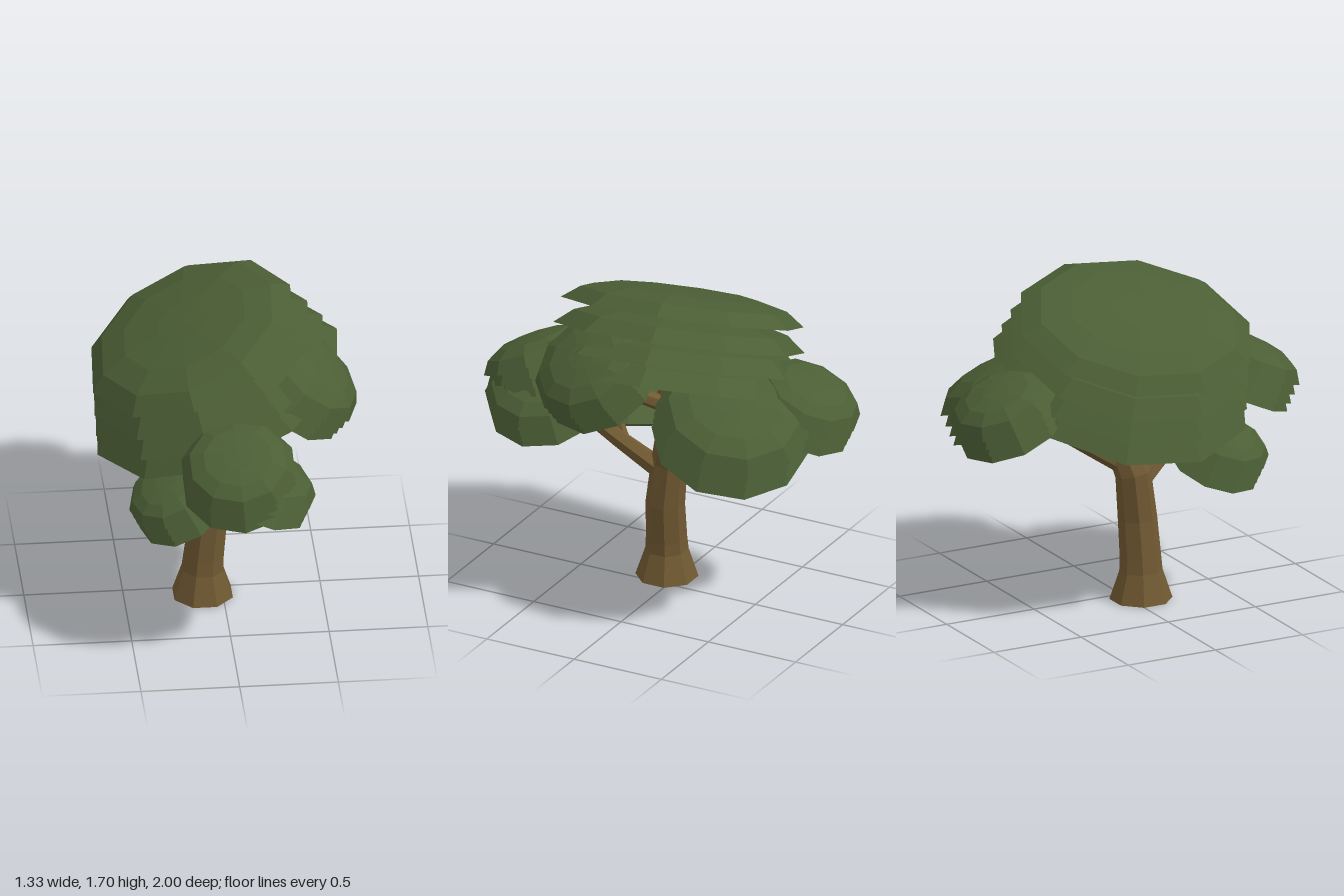
import * as THREE from 'three';

const leaf = new THREE.MeshStandardMaterial({ color: 0x4b5e35, flatShading: true, side: THREE.DoubleSide });
const bark = new THREE.MeshStandardMaterial({ color: 0x705932, flatShading: true });
const UP = new THREE.Vector3(0, 1, 0);

// Tapered limb through points [x, y, z, radius], closed at both ends
function limb(name, pts, sides) {
  const centres = pts.map(p => new THREE.Vector3(p[0], p[1], p[2]));
  const pos = [], index = [];
  const last = pts.length - 1;
  centres.forEach((c, i) => {
    const dir = centres[Math.min(i + 1, last)].clone().sub(centres[Math.max(i - 1, 0)]).normalize();
    const q = new THREE.Quaternion().setFromUnitVectors(UP, dir);
    for (let j = 0; j < sides; j++) {
      const a = (j + 0.5) / sides * Math.PI * 2;
      const v = new THREE.Vector3(Math.cos(a), 0, Math.sin(a)).multiplyScalar(pts[i][3]);
      pos.push(...v.applyQuaternion(q).add(c).toArray());
    }
  });
  pos.push(...centres[0].toArray(), ...centres[last].toArray());
  const bottom = pts.length * sides, top = bottom + 1;
  for (let j = 0; j < sides; j++) {
    const k = (j + 1) % sides;
    for (let i = 0; i < last; i++) {
      const a = i * sides + j, b = i * sides + k;
      index.push(a, a + sides, b, b, a + sides, b + sides);
    }
    index.push(bottom, j, k, top, last * sides + k, last * sides + j);
  }
  const geo = new THREE.BufferGeometry();
  geo.setAttribute('position', new THREE.Float32BufferAttribute(pos, 3));
  geo.setIndex(index);
  geo.computeVertexNormals();
  const mesh = new THREE.Mesh(geo, bark);
  mesh.name = name;
  return mesh;
}

// Shallow open dome, rim radius 1 and height 1
const dome = new THREE.LatheGeometry(
  [[1, 0], [0.85, 0.56], [0.6, 0.87], [0.25, 1.0], [0, 1.02]].map(p => new THREE.Vector2(...p)), 10, 0.53);
const STEPS = [0, 1.1, 2.08, 3];

// Foliage pad: four nested domes stepping down along a leaning axis
function foliage({ name, at, axis, rx, rz = rx, h, gap, grow = 0, spin = 0 }) {
  const pad = new THREE.Group();
  pad.name = name;
  STEPS.forEach((step, i) => {
    const shell = new THREE.Mesh(dome, leaf);
    shell.name = 'leafLayer' + (i + 1);
    const g = grow * step;
    shell.scale.set(rx * (1 + g), h * (1 + g * 2), rz * (1 + g * 0.3));
    shell.position.y = -gap * step;
    shell.rotation.y = spin;
    pad.add(shell);
  });
  pad.position.set(...at);
  pad.quaternion.setFromUnitVectors(UP, new THREE.Vector3(...axis).normalize());
  return pad;
}

export function createModel() {
  const tree = new THREE.Group();
  tree.name = 'tree';

  // Trunk with flared foot and gentle bends
  tree.add(limb('trunk', [
    [-0.1, 0, 0.06, 0.16], [-0.1, 0.15, 0.06, 0.11], [-0.095, 0.22, 0.06, 0.105],
    [-0.073, 0.42, 0.055, 0.1], [-0.073, 0.66, 0.03, 0.092],
    [0.0, 0.85, -0.02, 0.08], [0.0, 1.05, -0.005, 0.06], [-0.02, 1.3, -0.01, 0.045],
  ], 8));

  // Branches
  const branches = {
    frontBranch: [[-0.06, 0.6, 0.07, 0.056], [0.0, 0.75, 0.28, 0.045], [0.09, 0.97, 0.56, 0.03]],
    lowTwig: [[-0.01, 0.74, 0.25, 0.028], [-0.14, 0.76, 0.35, 0.024], [-0.27, 0.81, 0.43, 0.016]],
    backBranch: [[-0.03, 0.7, 0.0, 0.052], [-0.04, 0.86, -0.25, 0.043], [-0.1, 1.13, -0.66, 0.03]],
    backTwig: [[-0.05, 0.95, -0.38, 0.026], [0.25, 1.14, -0.48, 0.018]],
    leftBranch: [[0.0, 1.0, 0.0, 0.045], [0.2, 1.13, 0.1, 0.035], [0.42, 1.28, 0.19, 0.024]],
  };
  for (const [name, pts] of Object.entries(branches)) tree.add(limb(name, pts, 6));

  // Foliage pads
  [
    { name: 'crown', at: [-0.15, 1.458, 0], axis: [-0.37, 0.927, 0.055], rx: 0.565, rz: 0.635, h: 0.12, gap: 0.118, grow: 0.07 },
    { name: 'frontFoliage', at: [0.02, 1.12, 0.73], axis: [-0.08, 0.9, 0.42], rx: 0.295, h: 0.115, gap: 0.05, spin: 0.1 },
    { name: 'frontLeftFoliage', at: [0.145, 1.01, 0.64], axis: [0.4, 0.9, 0.0], rx: 0.3, h: 0.1, gap: 0.039, spin: -0.2 },
    { name: 'leftFoliage', at: [0.42, 1.34, 0.22], axis: [0.6, 0.78, 0.18], rx: 0.31, h: 0.105, gap: 0.048, spin: -0.2 },
    { name: 'backLeftFoliage', at: [0.235, 1.135, -0.5], axis: [0.29, 0.9, -0.28], rx: 0.4, h: 0.13, gap: 0.055, spin: -0.14 },
    { name: 'backFoliage', at: [-0.12, 1.15, -0.74], axis: [-0.05, 0.9, -0.42], rx: 0.285, h: 0.11, gap: 0.045, spin: 0.1 },
    { name: 'lowFoliage', at: [-0.29, 0.82, 0.43], axis: [-0.4, 0.9, 0.22], rx: 0.235, rz: 0.25, h: 0.085, gap: 0.045, spin: -0.2 },
  ].forEach(p => tree.add(foliage(p)));

  return tree;
}
